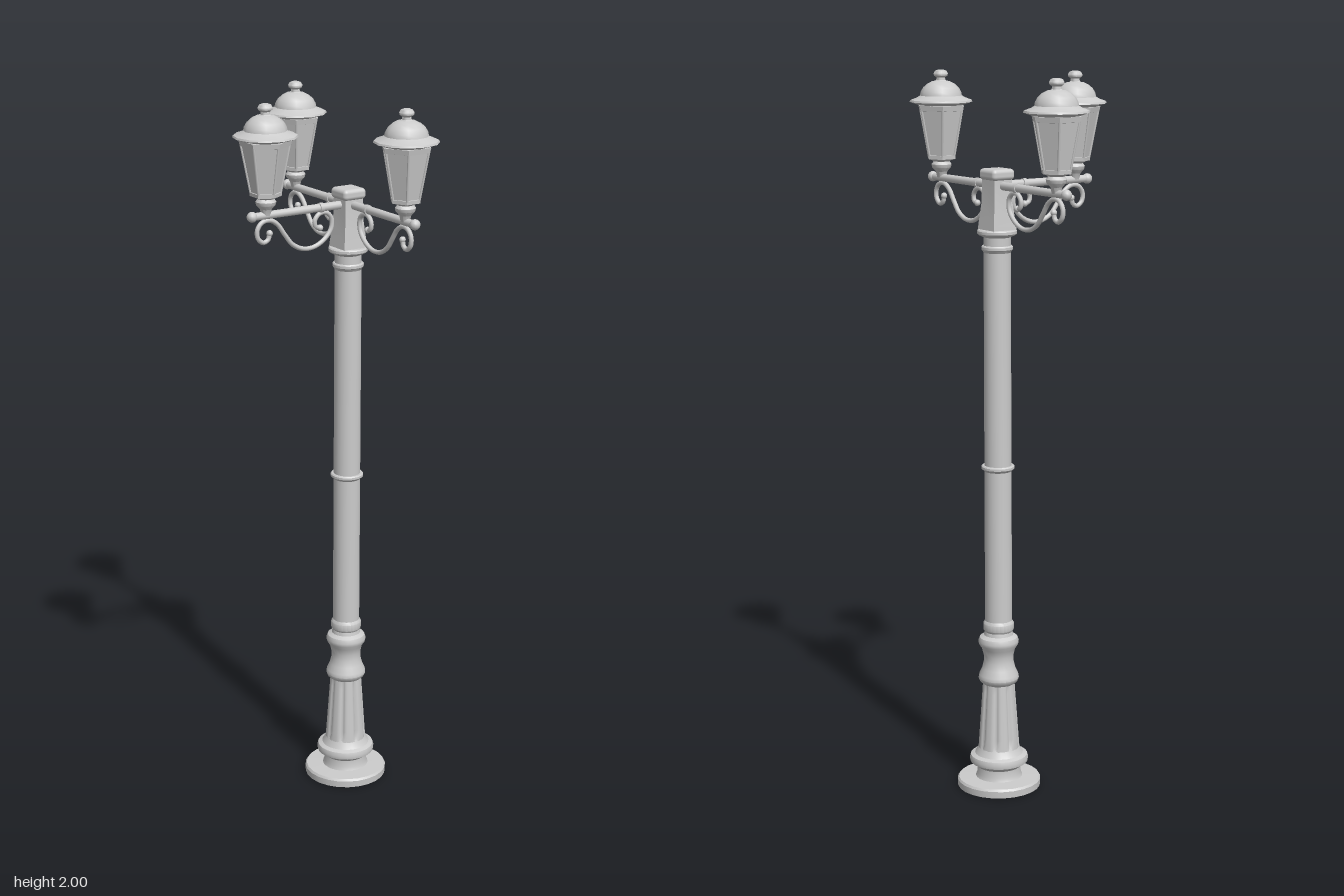
import * as THREE from 'three';
import { toCreasedNormals } from 'three/addons/utils/BufferGeometryUtils.js';
import { RoundedBoxGeometry } from 'three/addons/geometries/RoundedBoxGeometry.js';

const metal = new THREE.MeshStandardMaterial({ color: 0xcccccc, side: THREE.DoubleSide });
const AXIS_X = 0.116;   // column axis
const REACH = 0.263;    // lantern distance from the column axis
const ARM_Y = 1.705;

function add(parent, name, geometry, x = 0, y = 0, z = 0) {
  const mesh = new THREE.Mesh(geometry, metal);
  mesh.name = name;
  mesh.position.set(x, y, z);
  parent.add(mesh);
  return mesh;
}

// Turned part from [radius, y] pairs, listed from bottom to top
function turned(profile, sides, crease = 0.6, start = 0) {
  const points = profile.map(([r, y]) => new THREE.Vector2(r, y));
  return toCreasedNormals(new THREE.LatheGeometry(points, sides, start), crease);
}

// Tapered shaft with eight grooves pressed into its surface
function flutedShaft(rTop, rBottom, height) {
  const g = new THREE.CylinderGeometry(rTop, rBottom, height, 64, 12, true);
  const p = g.attributes.position;
  for (let i = 0; i < p.count; i++) {
    const x = p.getX(i), z = p.getZ(i);
    const wave = Math.max(0, Math.cos(8 * Math.atan2(z, x)));
    const ends = Math.min(1, (1 - Math.abs(p.getY(i) / height) * 2) * 6);
    const k = 1 - 0.13 * wave ** 3 * ends;
    p.setX(i, x * k);
    p.setZ(i, z * k);
  }
  g.computeVertexNormals();
  return g;
}

function createColumn() {
  const column = new THREE.Group();
  column.name = 'column';
  // Open-bottomed foot with a stepped moulding
  add(column, 'foot', turned([
    [0.11, 0], [0.117, 0.003], [0.118, 0.022], [0.114, 0.028], [0.066, 0.03],
    [0.062, 0.04], [0.062, 0.06], [0.07, 0.068], [0.081, 0.074], [0.083, 0.084],
    [0.08, 0.094], [0.068, 0.099], [0.06, 0.112], [0.056, 0.122],
  ], 24));
  add(column, 'flutedShaft', flutedShaft(0.044, 0.058, 0.2), 0, 0.215);
  // Waisted vase above the flutes
  add(column, 'vase', turned([
    [0.044, 0.305], [0.053, 0.312], [0.057, 0.322], [0.055, 0.332], [0.047, 0.35],
    [0.042, 0.37], [0.042, 0.388], [0.047, 0.408], [0.055, 0.42], [0.057, 0.43],
    [0.053, 0.441], [0.041, 0.448], [0.039, 0.458], [0.043, 0.464], [0.043, 0.482],
    [0.038, 0.49],
  ], 24));
  add(column, 'shaft', new THREE.CylinderGeometry(0.037, 0.038, 1.1, 24, 1, true), 0, 1.035);
  // Collars along the shaft
  for (const [y, r, h] of [[0.93, 0.046, 0.012], [1.537, 0.043, 0.014], [1.58, 0.054, 0.014]]) {
    add(column, 'collar', turned([
      [0.036, y - h], [r - 0.003, y - h / 2], [r, y - h / 4],
      [r, y + h / 4], [r - 0.003, y + h / 2], [0.03, y + h / 2],
    ], 24));
  }
  // Square head post with a softened cap
  add(column, 'headPost', turned([
    [0.053, 1.585], [0.051, 1.6], [0.042, 1.66], [0.04, 1.735],
  ], 4, 0.6, Math.PI / 4));
  add(column, 'postCap', new RoundedBoxGeometry(0.072, 0.03, 0.072, 3, 0.011), 0, 1.735);
  return column;
}

function createLantern() {
  const lantern = new THREE.Group();
  lantern.name = 'lantern';
  add(lantern, 'lanternBase', turned([
    [0.012, 1.705], [0.016, 1.722], [0.026, 1.733], [0.028, 1.742], [0.022, 1.75], [0.036, 1.758], [0, 1.76],
  ], 12));
  // Six-sided glass case with corner bars and rims
  const bottom = 0.038, top = 0.066, y0 = 1.758, y1 = 1.903;
  add(lantern, 'glassCase', turned([[bottom, y0], [top, y1]], 6, 0.5));
  for (let i = 0; i < 6; i++) {
    const a = (i * Math.PI) / 3;
    const at = (r, y) => new THREE.Vector3(Math.sin(a) * r, y, Math.cos(a) * r);
    const bar = new THREE.LineCurve3(at(bottom, y0), at(top, y1));
    add(lantern, 'cornerBar', new THREE.TubeGeometry(bar, 1, 0.0035, 6));
  }
  add(lantern, 'lowerRim', turned([[0.036, 1.756], [0.042, 1.757], [0.043, 1.767], [0.038, 1.768]], 6));
  add(lantern, 'upperRim', turned([[0.062, 1.889], [0.067, 1.89], [0.07, 1.904], [0.06, 1.905]], 6));
  // Twelve-sided brim and dome
  add(lantern, 'roof', turned([
    [0, 1.903], [0.06, 1.904], [0.087, 1.913], [0.085, 1.918], [0.066, 1.925], [0.058, 1.93],
    [0.056, 1.94], [0.049, 1.952], [0.038, 1.962], [0.024, 1.969], [0, 1.971],
  ], 12, 0.7));
  add(lantern, 'finial', turned([
    [0.022, 1.966], [0.013, 1.972], [0.012, 1.979], [0.019, 1.984],
    [0.02, 1.99], [0.016, 1.997], [0.008, 2], [0, 2],
  ], 16, 0.8));
  return lantern;
}

// Arm along +x with its scroll bracket and lantern
function createArm() {
  const arm = new THREE.Group();
  arm.name = 'arm';
  const rail = add(arm, 'rail', new THREE.CylinderGeometry(0.0105, 0.0115, 0.305, 12), 0.1525, ARM_Y);
  rail.rotation.z = -Math.PI / 2;
  const ring = add(arm, 'railCollar', new THREE.CylinderGeometry(0.0135, 0.0135, 0.012, 12), 0.09, ARM_Y);
  ring.rotation.z = Math.PI / 2;
  add(arm, 'endBall', new THREE.SphereGeometry(0.0145, 12, 8), 0.306, ARM_Y);
  const path = [
    [0.252, 1.655], [0.257, 1.638], [0.272, 1.632], [0.288, 1.645], [0.29, 1.668], [0.276, 1.686],
    [0.252, 1.69], [0.228, 1.677], [0.204, 1.645], [0.18, 1.616], [0.148, 1.6], [0.112, 1.6],
    [0.078, 1.617], [0.056, 1.645], [0.056, 1.674], [0.073, 1.69], [0.095, 1.688], [0.109, 1.671],
    [0.105, 1.654], [0.092, 1.65],
  ].map(([x, y]) => new THREE.Vector3(x, y, 0));
  const curve = new THREE.CatmullRomCurve3(path);
  add(arm, 'scroll', new THREE.TubeGeometry(curve, 90, 0.0065, 8));
  for (const end of [path[0], path[path.length - 1]]) {
    add(arm, 'scrollTip', new THREE.SphereGeometry(0.009, 10, 8), end.x, end.y);
  }
  const lantern = createLantern();
  lantern.position.x = REACH;
  arm.add(lantern);
  return arm;
}

export function createModel() {
  const model = new THREE.Group();
  model.name = 'streetLamp';
  const lamp = new THREE.Group();
  lamp.name = 'lamp';
  lamp.position.x = AXIS_X;
  lamp.add(createColumn());
  // Arms to the right, front and back
  for (const turn of [Math.PI, -Math.PI / 2, Math.PI / 2]) {
    const arm = createArm();
    arm.rotation.y = turn;
    lamp.add(arm);
  }
  model.add(lamp);
  return model;
}
